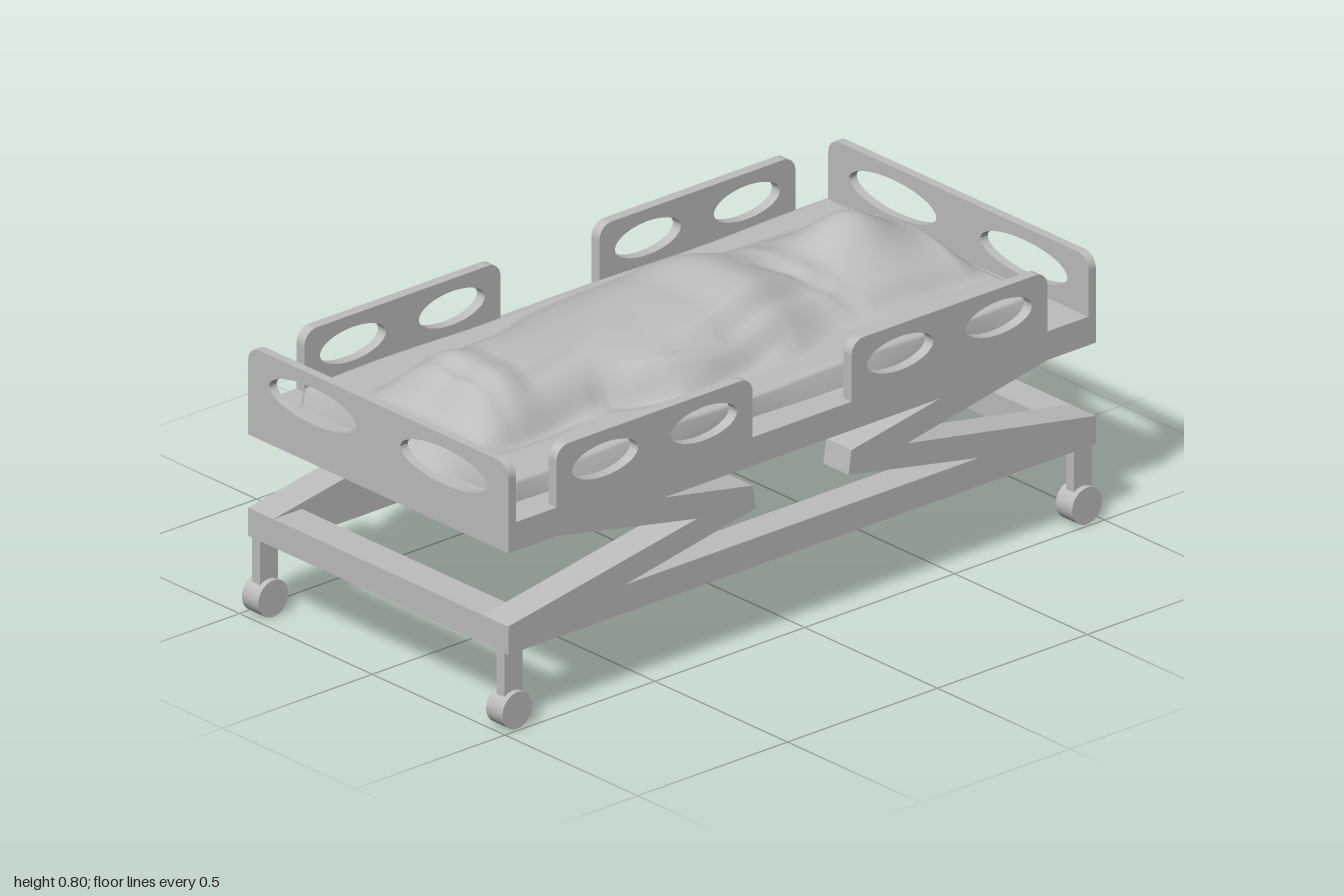
import * as THREE from 'three';

const grey = new THREE.MeshStandardMaterial({ color: 0xbdbdbd });
grey.name = 'plain grey';
const greyCloth = grey;

function add(parent, name, geometry, x = 0, y = 0, z = 0) {
  const mesh = new THREE.Mesh(geometry, grey);
  mesh.name = name;
  mesh.position.set(x, y, z);
  parent.add(mesh);
  return mesh;
}

// Box given by its limits
function block(parent, name, x0, x1, y0, y1, z0, z1) {
  add(parent, name, new THREE.BoxGeometry(x1 - x0, y1 - y0, z1 - z0),
    (x0 + x1) / 2, (y0 + y1) / 2, (z0 + z1) / 2);
}

// Upright panel with rounded top corners and two oval hand holes
function panel(halfWidth, y0, y1, r, holeX, holeY, rx, ry, depth) {
  const s = new THREE.Shape();
  s.moveTo(-halfWidth, y0);
  s.lineTo(halfWidth, y0);
  s.lineTo(halfWidth, y1 - r);
  s.absarc(halfWidth - r, y1 - r, r, 0, Math.PI / 2, false);
  s.lineTo(-halfWidth + r, y1);
  s.absarc(-halfWidth + r, y1 - r, r, Math.PI / 2, Math.PI, false);
  s.closePath();
  for (const side of [-1, 1]) {
    const hole = new THREE.Path();
    hole.absellipse(side * holeX, holeY, rx, ry, 0, Math.PI * 2, true);
    s.holes.push(hole);
  }
  const g = new THREE.ExtrudeGeometry(s, { depth, bevelEnabled: false, curveSegments: 20 });
  return g.translate(0, 0, -depth / 2);
}

// Smooth interpolation through [position, value] keys
function along(keys, x) {
  if (x <= keys[0][0]) return keys[0][1];
  for (let i = 1; i < keys.length; i++) {
    const [a, va] = keys[i - 1], [b, vb] = keys[i];
    if (x <= b) return va + (vb - va) * THREE.MathUtils.smoothstep(x, a, b);
  }
  return keys[keys.length - 1][1];
}

// Ridge height and the front and back reach of the covered body
const ridge = [[-0.9, 0.61], [-0.84, 0.655], [-0.72, 0.745], [-0.66, 0.763], [-0.57, 0.745],
  [-0.2, 0.74], [0, 0.745], [0.16, 0.768], [0.36, 0.725], [0.46, 0.702], [0.78, 0.7], [0.88, 0.62]];
const reachFront = [[-0.8, 0.23], [-0.4, 0.24], [-0.2, 0.33], [0.1, 0.31], [0.35, 0.26], [0.5, 0.27], [0.85, 0.26]];
const reachBack = [[-0.8, 0.25], [-0.45, 0.28], [-0.2, 0.35], [0.1, 0.36], [0.4, 0.31], [0.85, 0.27]];

// Soft crease running from (x0, z0) to (x1, z1)
const creases = [
  [-0.78, 0.23, -0.4, 0.2, -0.02], [-0.42, 0.2, -0.18, 0.31, -0.022], [-0.2, 0.31, 0.15, 0.25, -0.016],
  [-0.3, 0.2, 0.0, 0.27, 0.014], [0.0, 0.2, 0.4, 0.12, -0.012], [-0.1, 0.16, 0.3, 0.08, 0.008],
  [-0.5, -0.22, -0.2, -0.32, -0.016], [-0.72, -0.23, -0.5, -0.27, -0.014], [-0.6, 0.12, -0.3, 0.06, -0.008],
  [0.5, 0.22, 0.84, 0.235, -0.015], [0.3, 0.0, 0.42, 0.2, -0.01], [-0.6, 0.33, -0.3, 0.36, 0.01],
];
function creaseHeight(x, z) {
  let h = 0;
  for (const [x0, z0, x1, z1, depth] of creases) {
    const dx = x1 - x0, dz = z1 - z0;
    const t = THREE.MathUtils.clamp(((x - x0) * dx + (z - z0) * dz) / (dx * dx + dz * dz), 0, 1);
    const d = Math.hypot(x - x0 - dx * t, z - z0 - dz * t);
    h += depth * Math.exp(-((d / 0.024) ** 2)) * (0.4 + 0.6 * Math.sin(Math.PI * t));
  }
  return h;
}

// Height of the cover over the mattress
function coverHeight(x, z) {
  const base = 0.627 + 0.003 * Math.sin(9 * x + 14 * z);
  const t = Math.min(1, Math.abs(z) / along(z > 0 ? reachFront : reachBack, x));
  const rise = Math.max(0, along(ridge, x) - base) * (1 - t ** 3) ** 1.5;
  const head = 0.095 * Math.exp(-(((x - 0.585) / 0.135) ** 2) - (z / 0.12) ** 2);
  const feet = -0.012 * Math.exp(-(((x + 0.7) / 0.09) ** 2) - (z / 0.05) ** 2);
  return base + rise + head + feet + creaseHeight(x, z);
}

function coverGeometry() {
  const g = new THREE.PlaneGeometry(2, 2, 200, 100).rotateX(-Math.PI / 2);
  const p = g.attributes.position;
  for (let i = 0; i < p.count; i++) {
    const u = p.getX(i), v = p.getZ(i);
    let x = u * 0.885, z = v * 0.405;
    let y = coverHeight(x, z);
    // Rounded border, then a short hanging hem
    const d = Math.min(0.885 - Math.abs(x), 0.405 - Math.abs(z));
    y -= 0.014 * (1 - THREE.MathUtils.smoothstep(d, 0, 0.03));
    if (Math.max(Math.abs(u), Math.abs(v)) > 0.9999) {
      y = 0.567;
      x += 0.006 * Math.sin(13 * z) * Math.sign(u);
      z += 0.006 * Math.sin(8 * x) * Math.sign(v);
      // Foot end spills outwards
      if (u < -0.9999) x -= 0.035 * Math.exp(-(((z + 0.02) / 0.16) ** 4));
    }
    p.setXYZ(i, x, y, z);
  }
  g.computeVertexNormals();
  return g;
}

export function createModel() {
  const bed = new THREE.Group();
  bed.name = 'adjustableBed';

  // Wheels and legs
  for (const sx of [-1, 1]) for (const sz of [-1, 1]) {
    const leg = new THREE.Group();
    leg.name = 'wheeledLeg';
    leg.position.set(sx * 0.95, 0, sz * 0.46);
    bed.add(leg);
    add(leg, 'wheel', new THREE.CylinderGeometry(0.05, 0.05, 0.062, 32).rotateX(Math.PI / 2), 0, 0.05, 0);
    block(leg, 'legPost', -0.03, 0.03, 0.085, 0.212, -0.015, 0.015);
  }

  // Lower frame ring
  for (const s of [-1, 1]) {
    block(bed, 'lowerSideBar', -0.98, 0.98, 0.21, 0.287, s * 0.4425 - 0.0475, s * 0.4425 + 0.0475);
    block(bed, 'lowerEndBar', s * 0.9325 - 0.0475, s * 0.9325 + 0.0475, 0.21, 0.287, -0.395, 0.395);
  }

  // Folding lift arms
  const outline = [[0.98, 0.287], [0.35, 0.397], [0.82, 0.487], [0.46, 0.487],
    [0.165, 0.433], [0.155, 0.368], [0.59, 0.287]];
  for (const sx of [-1, 1]) {
    const shape = new THREE.Shape(outline.map(([x, y]) => new THREE.Vector2(sx * x, y)));
    const g = new THREE.ExtrudeGeometry(shape, { depth: 0.095, bevelEnabled: false });
    for (const z of [-0.49, 0.395]) add(bed, 'liftArm', g, 0, 0, z);
  }

  // Platform, end boards and side rails
  block(bed, 'platform', -0.955, 0.955, 0.487, 0.565, -0.49, 0.49);
  const endBoard = panel(0.49, 0.487, 0.73, 0.04, 0.247, 0.645, 0.164, 0.05, 0.025).rotateY(Math.PI / 2);
  const sideRail = panel(0.327, 0.565, 0.73, 0.04, 0.165, 0.65, 0.11, 0.046, 0.03);
  for (const s of [-1, 1]) {
    add(bed, s > 0 ? 'headBoard' : 'footBoard', endBoard, s * 0.9675, 0, 0);
    for (const sz of [-1, 1]) add(bed, 'sideRail', sideRail, s * 0.492, 0, sz * 0.475);
  }

  // Mattress and the cover draped over a lying figure
  block(bed, 'mattress', -0.87, 0.87, 0.565, 0.605, -0.395, 0.395);
  const cover = add(bed, 'cover', coverGeometry());
  cover.material = greyCloth;
  greyCloth.side = THREE.DoubleSide;

  return bed;
}
